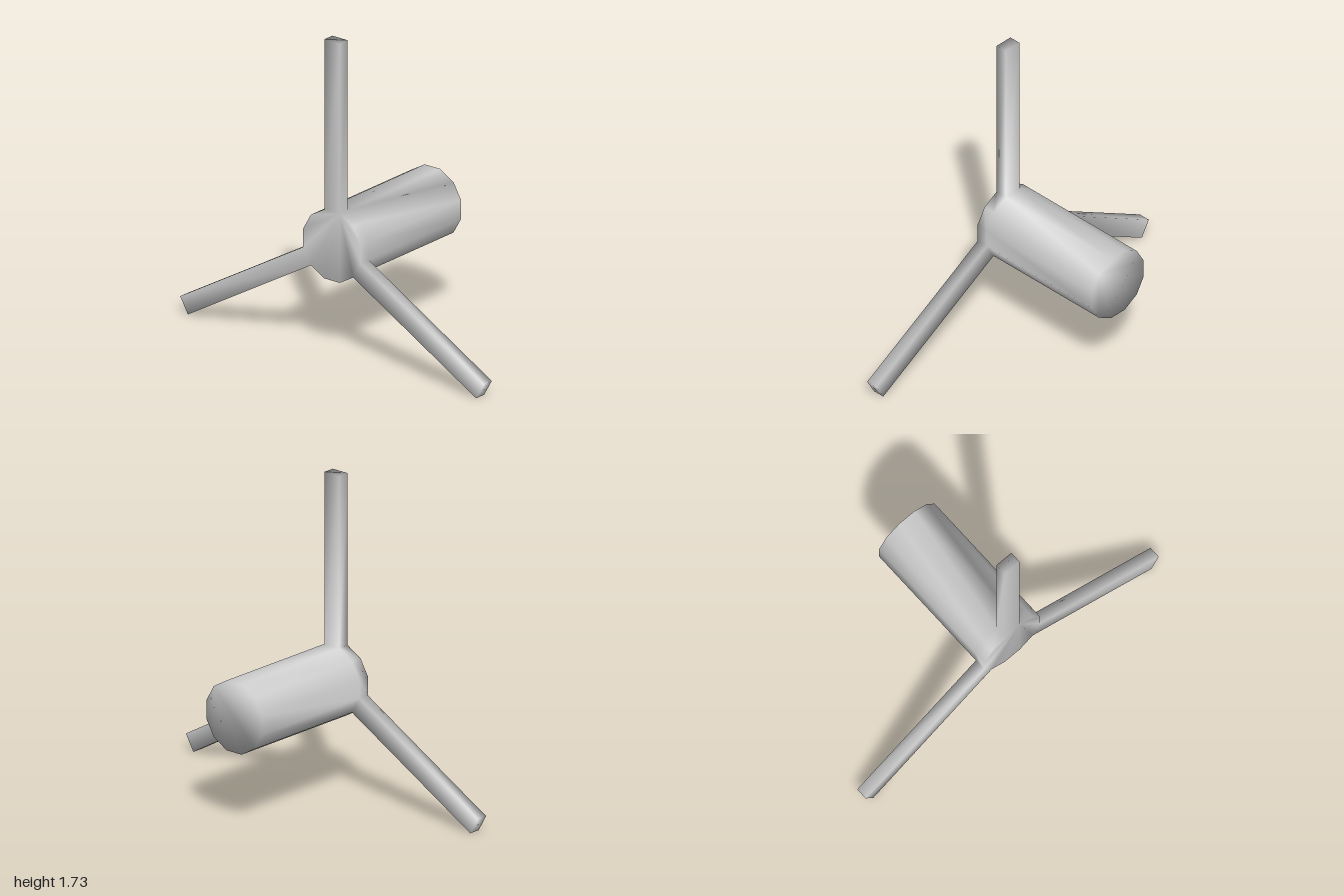
import * as THREE from 'three';

const SIDES = 12;         // hub facets
const APOTHEM = 0.19;     // hub centre to flat
const CENTER_Y = 0.607;
const BLADE_REACH = 1.125; // hub centre to blade tip
const RING_Z = [-0.41, 0.345, 0.41]; // hub back, blade back, shared front

// Hub and blades share vertices, so the shading flows smoothly over the whole rotor
function rotorGeometry() {
  const positions = [], index = [];
  const add = (x, y, z) => positions.push(x, y + CENTER_Y, z) / 3 - 1;
  const polygon = (loop) => {
    for (let k = 1; k < loop.length - 1; k++) index.push(loop[0], loop[k], loop[k + 1]);
  };

  // Hub cross-sections, starting with a flat facing straight up
  const radius = APOTHEM / Math.cos(Math.PI / SIDES);
  const [back, middle, front] = RING_Z.map((z) =>
    Array.from({ length: SIDES }, (_, i) => {
      const a = THREE.MathUtils.degToRad(75 + (i * 360) / SIDES);
      return add(radius * Math.cos(a), radius * Math.sin(a), z);
    }));
  polygon(front);
  polygon([...back].reverse());

  for (let i = 0; i < SIDES; i++) {
    const n = (i + 1) % SIDES;
    polygon([back[i], back[n], middle[n], middle[i]]);
    const base = [middle[i], middle[n], front[n], front[i]];
    if (i % 4 !== 0) {
      polygon(base);
      continue;
    }
    // Every fourth facet is drawn out into a straight blade
    const a = THREE.MathUtils.degToRad(90 + (i * 360) / SIDES);
    const length = BLADE_REACH - APOTHEM;
    const tip = base.map((v) => add(
      positions[v * 3] + length * Math.cos(a),
      positions[v * 3 + 1] - CENTER_Y + length * Math.sin(a),
      positions[v * 3 + 2]));
    for (let j = 0; j < 4; j++) {
      const k = (j + 1) % 4;
      polygon([base[j], base[k], tip[k], tip[j]]);
    }
    polygon(tip);
  }

  const geometry = new THREE.BufferGeometry();
  geometry.setAttribute('position', new THREE.Float32BufferAttribute(positions, 3));
  geometry.setIndex(index);
  geometry.computeVertexNormals();
  return geometry;
}

export function createModel() {
  const group = new THREE.Group();
  group.name = 'rotor';
  const grey = new THREE.MeshStandardMaterial({ color: 0xcccccc });
  grey.name = 'light grey';
  const rotor = new THREE.Mesh(rotorGeometry(), grey);
  rotor.name = 'hubAndBlades';
  group.add(rotor);
  return group;
}
